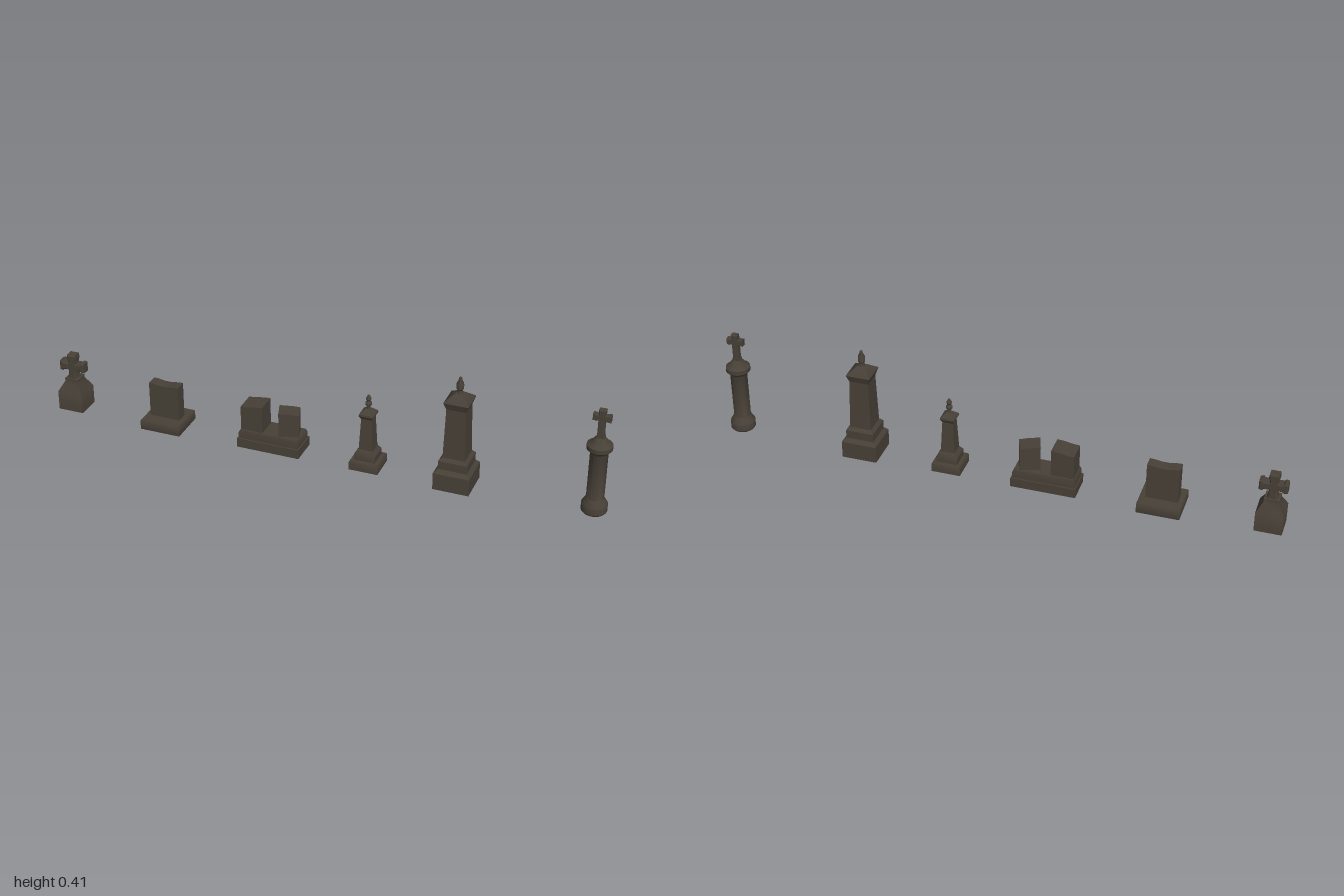
import * as THREE from 'three';
import { toCreasedNormals } from 'three/addons/utils/BufferGeometryUtils.js';

const stone = new THREE.MeshStandardMaterial({ color: 0x474037 });
stone.name = 'darkStone';

function add(group, name, geometry, x = 0, y = 0, z = 0) {
  const mesh = new THREE.Mesh(toCreasedNormals(geometry, 0.6), stone);
  mesh.name = name;
  mesh.position.set(x, y, z);
  group.add(mesh);
  return mesh;
}

// Closed turned solid from [radius, height] pairs, bottom to top
function turned(profile, sides) {
  const top = profile[profile.length - 1][1];
  const points = [[0, profile[0][1]], ...profile, [0, top]];
  return new THREE.LatheGeometry(points.map(([r, y]) => new THREE.Vector2(r, y)), sides);
}

// Rectangular stack from [half width, height] pairs; depth is a ratio of the width
function squareStack(profile, depth = 1) {
  const g = turned(profile.map(([w, y]) => [w * Math.SQRT2, y]), 4);
  return g.rotateY(Math.PI / 4).scale(1, 1, depth);
}

// Front outline given depth, centred on z
function slab(outline, depth, bevel = 0) {
  const shape = new THREE.Shape(outline.map(([x, y]) => new THREE.Vector2(x, y)));
  const g = new THREE.ExtrudeGeometry(shape, {
    depth: depth - 2 * bevel, bevelEnabled: bevel > 0,
    bevelThickness: bevel, bevelSize: bevel, bevelOffset: -bevel, bevelSegments: 1,
  });
  return g.translate(0, 0, bevel - depth / 2);
}

// Mirrored cross outline from its right half
function crossOutline(half) {
  return [...half, ...half.map(([x, y]) => [-x, y]).reverse()];
}

function createModel() {
  const model = new THREE.Group();
  model.name = 'gravestones';
  const place = (name, x) => {
    const g = new THREE.Group();
    g.name = name;
    g.position.x = x;
    model.add(g);
    return g;
  };

  // Stout cross on a block pedestal
  const cross = place('crossStone', -0.953);
  add(cross, 'pedestal', squareStack([[0.047, 0], [0.047, 0.07], [0.043, 0.078], [0.026, 0.108], [0.026, 0.12]], 0.95));
  add(cross, 'cross', slab(crossOutline([
    [0.021, 0.115], [0.014, 0.132], [0.014, 0.152], [0.032, 0.15], [0.037, 0.145], [0.048, 0.147],
    [0.048, 0.182], [0.037, 0.185], [0.032, 0.179], [0.014, 0.178], [0.014, 0.19], [0.018, 0.195],
    [0.016, 0.212],
  ]), 0.036, 0.004));

  // Upright slab on a wide plinth
  const upright = place('slabStone', -0.587);
  add(upright, 'plinth', squareStack([[0.074, 0], [0.075, 0.004], [0.075, 0.034], [0.073, 0.037]], 0.89));
  add(upright, 'slab', slab([
    [-0.057, 0.03], [0.055, 0.03], [0.055, 0.167], [0.03, 0.165], [0.012, 0.162], [-0.015, 0.162],
    [-0.035, 0.166], [-0.057, 0.167],
  ], 0.042));

  // Two broken blocks sharing a stepped base
  const pair = place('doubleStone', -0.182);
  add(pair, 'lowerBase', new THREE.BoxGeometry(0.23, 0.034, 0.104), 0, 0.017);
  const upper = turned([[0.11 * Math.SQRT2, 0.034], [0.11 * Math.SQRT2, 0.056], [0.105 * Math.SQRT2, 0.066]], 4);
  add(pair, 'upperBase', upper.rotateY(Math.PI / 4).scale(1, 1, 0.42));
  add(pair, 'leftHandBlock', slab([
    [-0.04, 0], [0.04, 0], [0.04, 0.101], [0.01, 0.098], [-0.015, 0.093], [-0.04, 0.091],
  ], 0.076), -0.064, 0.064);
  const leaning = add(pair, 'turnedBlock', slab([
    [-0.036, 0], [0.036, 0], [0.036, 0.086], [0.01, 0.09], [-0.036, 0.093],
  ], 0.062), 0.062, 0.064);
  leaning.rotation.y = 0.32;

  // Small tapering monument
  const small = place('smallMonument', 0.168);
  add(small, 'base', squareStack([[0.052, 0], [0.052, 0.028], [0.048, 0.034]], 0.95));
  add(small, 'step', squareStack([[0.037, 0.032], [0.037, 0.057], [0.026, 0.073]], 0.95));
  add(small, 'shaft', squareStack([[0.025, 0.07], [0.019, 0.195]]));
  add(small, 'cap', squareStack([[0.019, 0.19], [0.026, 0.202], [0.025, 0.209], [0.008, 0.225]]));
  add(small, 'finial', turned([
    [0.008, 0.222], [0.006, 0.234], [0.012, 0.24], [0.012, 0.247], [0.006, 0.253], [0.01, 0.262], [0.003, 0.276],
  ], 8));

  // Tall monument with a flared roof
  const tall = place('tallMonument', 0.483);
  add(tall, 'base', squareStack([[0.063, 0], [0.063, 0.062], [0.051, 0.075]]));
  add(tall, 'step', squareStack([[0.05, 0.073], [0.05, 0.105], [0.041, 0.116]]));
  add(tall, 'shaft', squareStack([[0.039, 0.114], [0.034, 0.302]]));
  add(tall, 'roof', squareStack([[0.034, 0.298], [0.043, 0.324], [0.041, 0.328], [0.012, 0.351]]));
  add(tall, 'finial', turned([
    [0.012, 0.348], [0.009, 0.362], [0.013, 0.367], [0.013, 0.384], [0.006, 0.399], [0.006, 0.405], [0.002, 0.41],
  ], 8));

  // Round column carrying a slim cross
  const column = place('columnStone', 0.955);
  add(column, 'column', turned([
    [0.039, 0.005], [0.044, 0.011], [0.044, 0.036], [0.036, 0.048], [0.033, 0.055], [0.03, 0.06],
    [0.03, 0.228], [0.034, 0.236], [0.043, 0.244], [0.043, 0.259], [0.03, 0.266], [0.023, 0.278], [0.016, 0.286],
  ], 20));
  add(column, 'cross', slab(crossOutline([
    [0.016, 0.282], [0.011, 0.3], [0.011, 0.349], [0.03, 0.347], [0.03, 0.371], [0.011, 0.369], [0.012, 0.388],
  ]), 0.022, 0.002));

  return model;
}

export { createModel };
